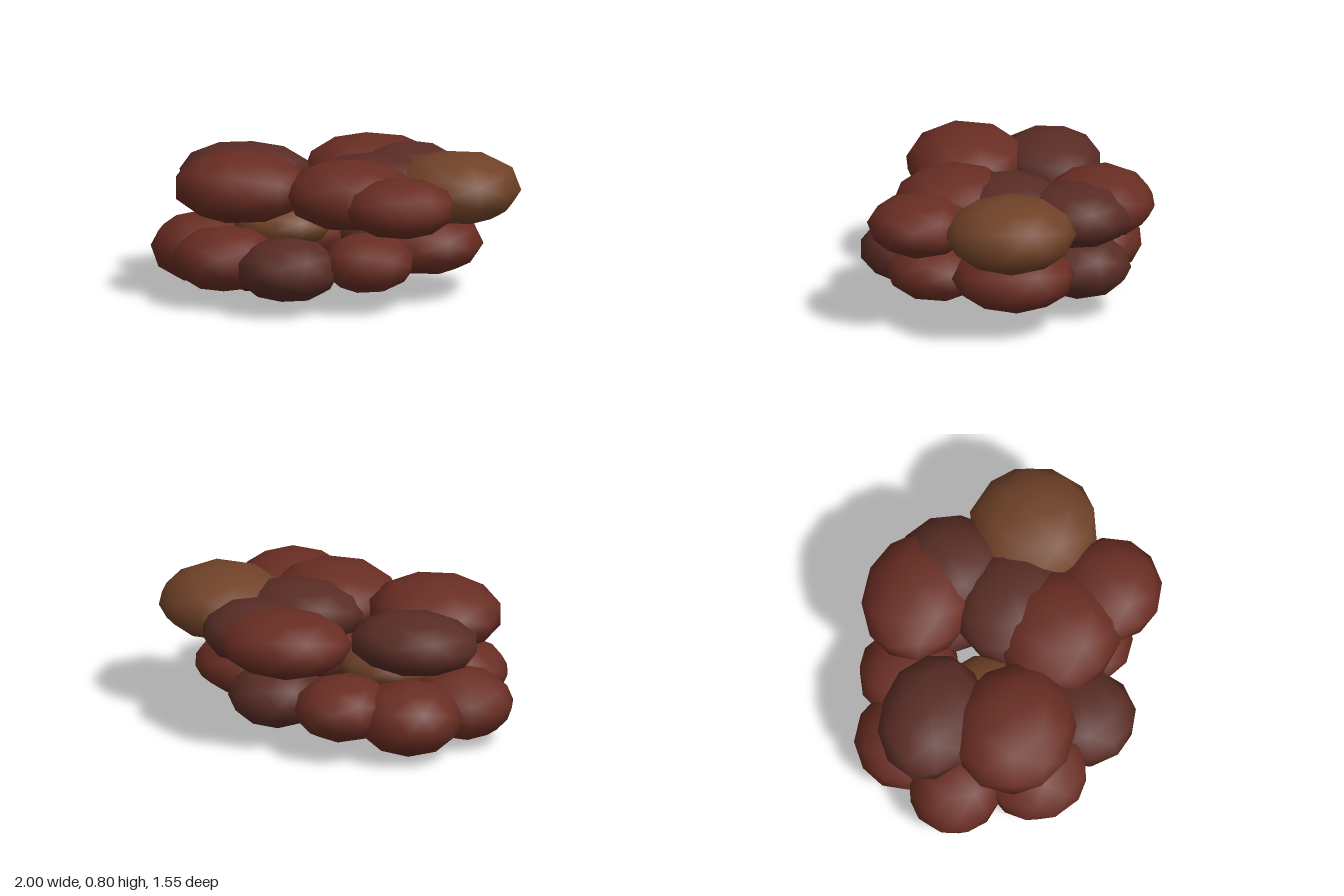
import * as THREE from 'three';

const material = (color) => new THREE.MeshStandardMaterial({ color });

export function createModel() {
  const group = new THREE.Group();
  group.name = 'shrub';
  const red = material(0x692d23);
  const dusky = material(0x592c25);
  const brown = material(0x704228);
  const bark = material(0x24211d);

  // Leaf clumps: flattened low-poly spheres [x, y, z, rx, ry, rz, material]
  const addClumps = (name, clumps) => {
    const layer = new THREE.Group();
    layer.name = name;
    clumps.forEach(([x, y, z, rx, ry, rz, mat], i) => {
      const geometry = new THREE.IcosahedronGeometry(1, 1);
      geometry.rotateY(i * 1.9);
      geometry.scale(rx, ry, rz);
      const clump = new THREE.Mesh(geometry, mat);
      clump.name = 'leafClump';
      clump.position.set(x, y, z);
      layer.add(clump);
    });
    group.add(layer);
  };

  addClumps('upperFoliage', [
    [0.65, 0.6, 0, 0.35, 0.195, 0.35, brown],
    [0.12, 0.595, -0.48, 0.37, 0.175, 0.3, red],
    [0.32, 0.595, -0.36, 0.3, 0.165, 0.3, dusky],
    [-0.52, 0.595, -0.23, 0.36, 0.16, 0.28, dusky],
    [-0.47, 0.61, 0.21, 0.37, 0.195, 0.33, red],
    [0.13, 0.6, 0.28, 0.35, 0.19, 0.34, red],
    [0.43, 0.58, 0.475, 0.3, 0.16, 0.285, red],
    [0.21, 0.6, 0, 0.34, 0.17, 0.3, dusky],
  ]);

  addClumps('lowerFoliage', [
    [-0.71, 0.22, -0.04, 0.29, 0.195, 0.26, red],
    [-0.54, 0.22, -0.36, 0.29, 0.195, 0.28, red],
    [-0.53, 0.245, 0.345, 0.29, 0.175, 0.285, red],
    [-0.17, 0.23, 0.5, 0.28, 0.17, 0.29, dusky],
    [0.24, 0.26, 0.385, 0.25, 0.16, 0.27, red],
    [0.47, 0.295, -0.02, 0.32, 0.17, 0.33, red],
    [0.2, 0.265, -0.38, 0.26, 0.17, 0.27, dusky],
    [-0.2, 0.26, -0.44, 0.27, 0.17, 0.28, red],
  ]);

  addClumps('innerFoliage', [[-0.28, 0.375, 0, 0.27, 0.13, 0.25, brown]]);

  // Stems: short stout limbs fanning out from the base
  const up = new THREE.Vector3(0, 1, 0);
  const addStem = (from, to, r0, r1) => {
    const a = new THREE.Vector3(...from);
    const b = new THREE.Vector3(...to);
    const dir = b.clone().sub(a);
    const stem = new THREE.Mesh(new THREE.CylinderGeometry(r1, r0, dir.length(), 7), bark);
    stem.name = 'stem';
    stem.position.copy(a).add(b).multiplyScalar(0.5);
    stem.quaternion.setFromUnitVectors(up, dir.normalize());
    group.add(stem);
  };
  for (const s of [-1, 0, 1]) {
    addStem([-0.44, 0.02, s * 0.035], [-0.31, 0.3, s * 0.12], 0.038, 0.035);
  }
  for (const s of [-1, 1]) {
    addStem([-0.47, 0.02, s * 0.03], [-0.43, 0.24, s * 0.1], 0.035, 0.03);
  }
  addStem([-0.55, 0.035, 0.01], [-0.43, 0.06, 0], 0.03, 0.035);

  return group;
}
